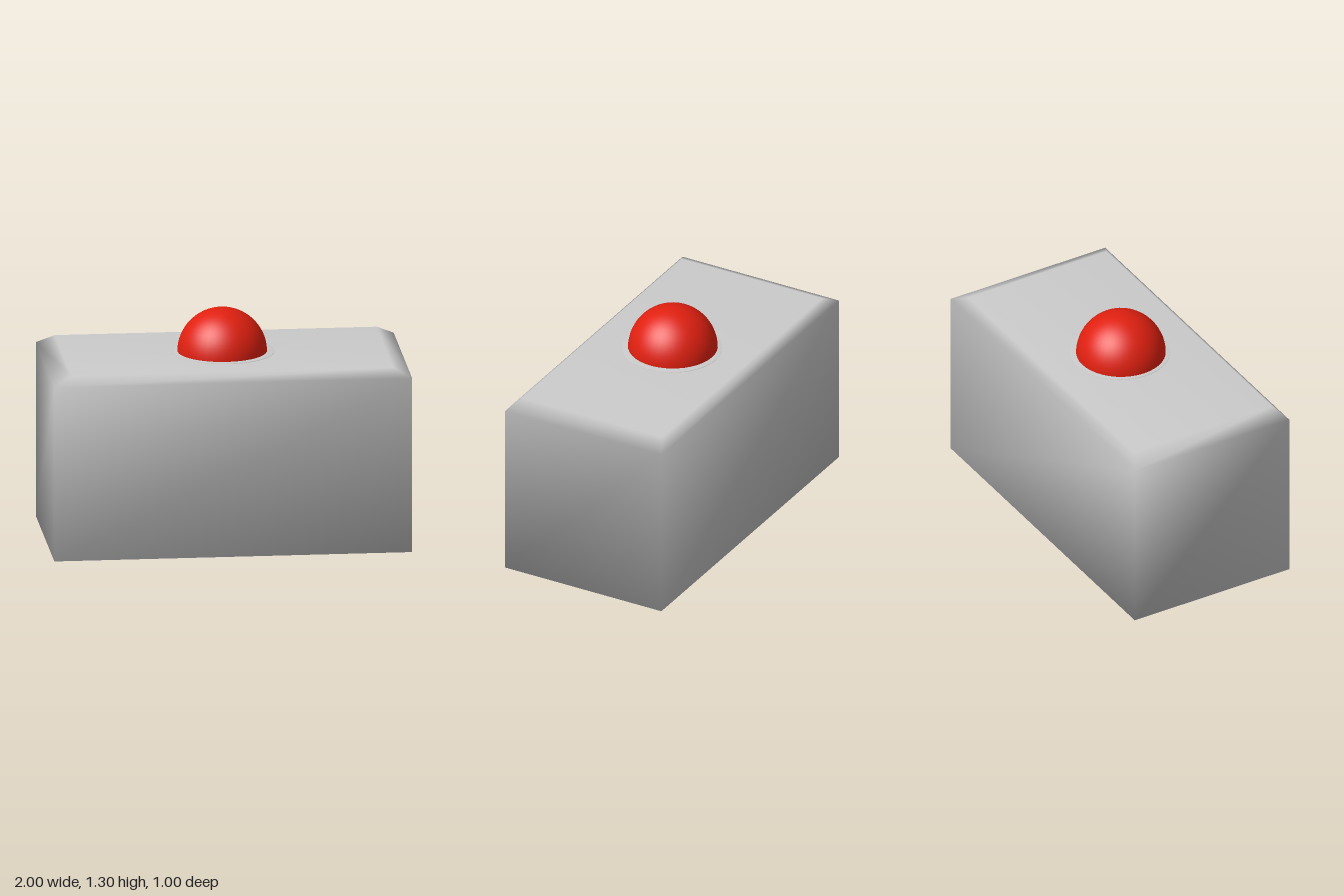
import * as THREE from 'three';

const material = (color) => new THREE.MeshStandardMaterial({ color });

function addMesh(group, name, geometry, color) {
  const mesh = new THREE.Mesh(geometry, material(color));
  mesh.name = name;
  group.add(mesh);
  return mesh;
}

// Box lofted through rectangular sections, with corners shared for soft shading
function loftedBox(sections) {
  const positions = [];
  const index = [];
  for (const [halfX, halfZ, y] of sections) {
    for (const [sx, sz] of [[1, 1], [1, -1], [-1, -1], [-1, 1]]) {
      positions.push(sx * halfX, y, sz * halfZ);
    }
  }
  for (let s = 0; s < sections.length - 1; s++) {
    for (let i = 0; i < 4; i++) {
      const a = s * 4 + i;
      const b = s * 4 + (i + 1) % 4;
      index.push(a, b, b + 4, a, b + 4, a + 4);
    }
  }
  const t = (sections.length - 1) * 4;
  index.push(0, 2, 1, 0, 3, 2); // underside
  index.push(t, t + 1, t + 2, t, t + 2, t + 3); // top
  const geometry = new THREE.BufferGeometry();
  geometry.setAttribute('position', new THREE.Float32BufferAttribute(positions, 3));
  geometry.setIndex(index);
  geometry.computeVertexNormals();
  return geometry;
}

export function createModel() {
  const group = new THREE.Group();
  group.name = 'buttonBox';

  // Housing with a bevelled top edge
  addMesh(group, 'housing', loftedBox([[1, 0.5, 0], [1, 0.5, 1], [0.9, 0.45, 1.05]]), 0xcccccc);

  // Thin collar under the button
  const profile = [[0.28, 1.045], [0.28, 1.055], [0.2, 1.055]];
  addMesh(group, 'collar',
    new THREE.LatheGeometry(profile.map(([r, y]) => new THREE.Vector2(r, y)), 48), 0xcccccc);

  // Red domed button, slightly off centre
  const dome = new THREE.SphereGeometry(0.25, 40, 16, 0, Math.PI * 2, 0, Math.PI / 2);
  addMesh(group, 'button', dome, 0xe02010).position.set(-0.01, 1.05, 0);

  return group;
}
